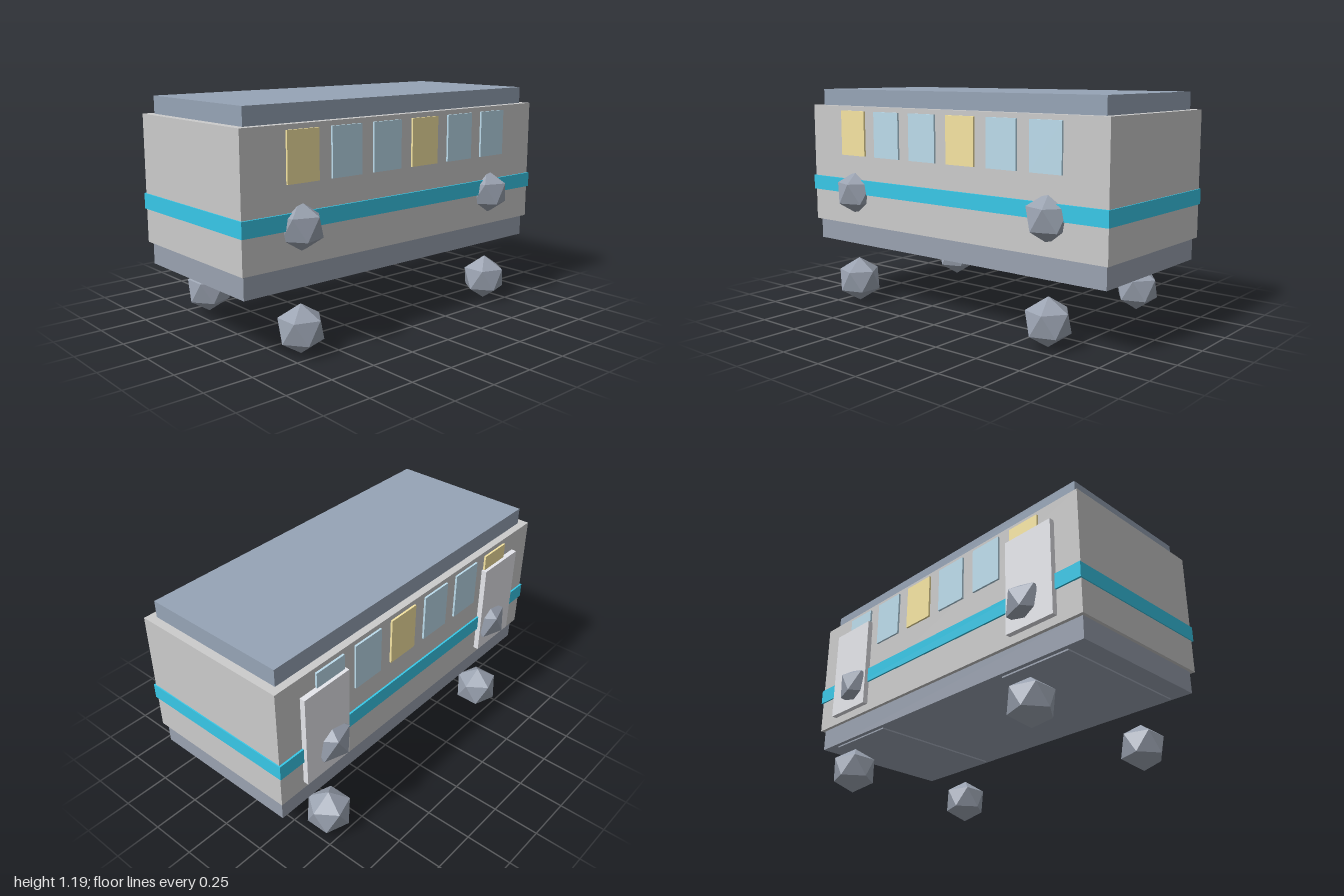
import * as THREE from 'three';

const mat = (color) => new THREE.MeshStandardMaterial({ color, flatShading: true });

export function createModel() {
  const model = new THREE.Group();
  model.name = 'railCar';

  const grey = mat(0xcccccc);
  const roofMat = mat(0x96a4b6);
  const steel = mat(0x9aa2b0);
  const stripeMat = mat(0x38c8e8);
  const blueGlass = mat(0xbcdcec);
  const yellowGlass = mat(0xf6e5a2);
  const doorMat = mat(0xe6e7ec);

  // Box given by its extents on each axis
  const box = (name, material, [x0, x1], [y0, y1], [z0, z1]) => {
    const mesh = new THREE.Mesh(new THREE.BoxGeometry(x1 - x0, y1 - y0, z1 - z0), material);
    mesh.position.set((x0 + x1) / 2, (y0 + y1) / 2, (z0 + z1) / 2);
    mesh.name = name;
    model.add(mesh);
  };
  const both = (v) => [-v, v];

  // Stacked hull: skirt, body, stripe band, roof
  box('skirt', steel, both(0.977), [0.325, 0.44], both(0.413));
  box('body', grey, both(0.994), [0.44, 1.1], both(0.433));
  box('stripe', stripeMat, both(1.0), [0.615, 0.695], both(0.443));
  box('roof', roofMat, both(0.95), [1.1, 1.19], both(0.393));

  // Windows, the same row on the front and the back
  for (let i = 0; i < 6; i++) {
    const x = -0.656 + i * 0.2624;
    const glass = i % 3 === 0 ? yellowGlass : blueGlass;
    const across = [x - 0.092, x + 0.092];
    box('windowFront', glass, across, [0.828, 1.075], [0.425, 0.444]);
    box('windowBack', glass, across, [0.828, 1.075], [-0.444, -0.425]);
  }

  // Icosahedron standing on one of its corners
  const wheelGeo = new THREE.IcosahedronGeometry(0.124, 0);
  wheelGeo.rotateZ(-Math.atan(2 / (1 + Math.sqrt(5))));

  for (const side of [-1, 1]) {
    // Undercarriage plates and back doors, one pair at each end
    const x = side * 0.66;
    box('undercarriage', steel, [x - 0.206, x + 0.206], [0.317, 0.4], both(0.389));
    const d = side * 0.7;
    box('door', doorMat, [d - 0.147, d + 0.147], [0.482, 0.993], [-0.462, -0.42]);

    // Wheels below, and matching hubs half sunk in the walls
    for (const z of [-0.413, 0.413]) {
      for (const [name, y] of [['wheel', 0.124], ['wallHub', 0.62]]) {
        const mesh = new THREE.Mesh(wheelGeo, steel);
        mesh.position.set(x, y, z);
        mesh.name = name;
        model.add(mesh);
      }
    }
  }
  return model;
}
